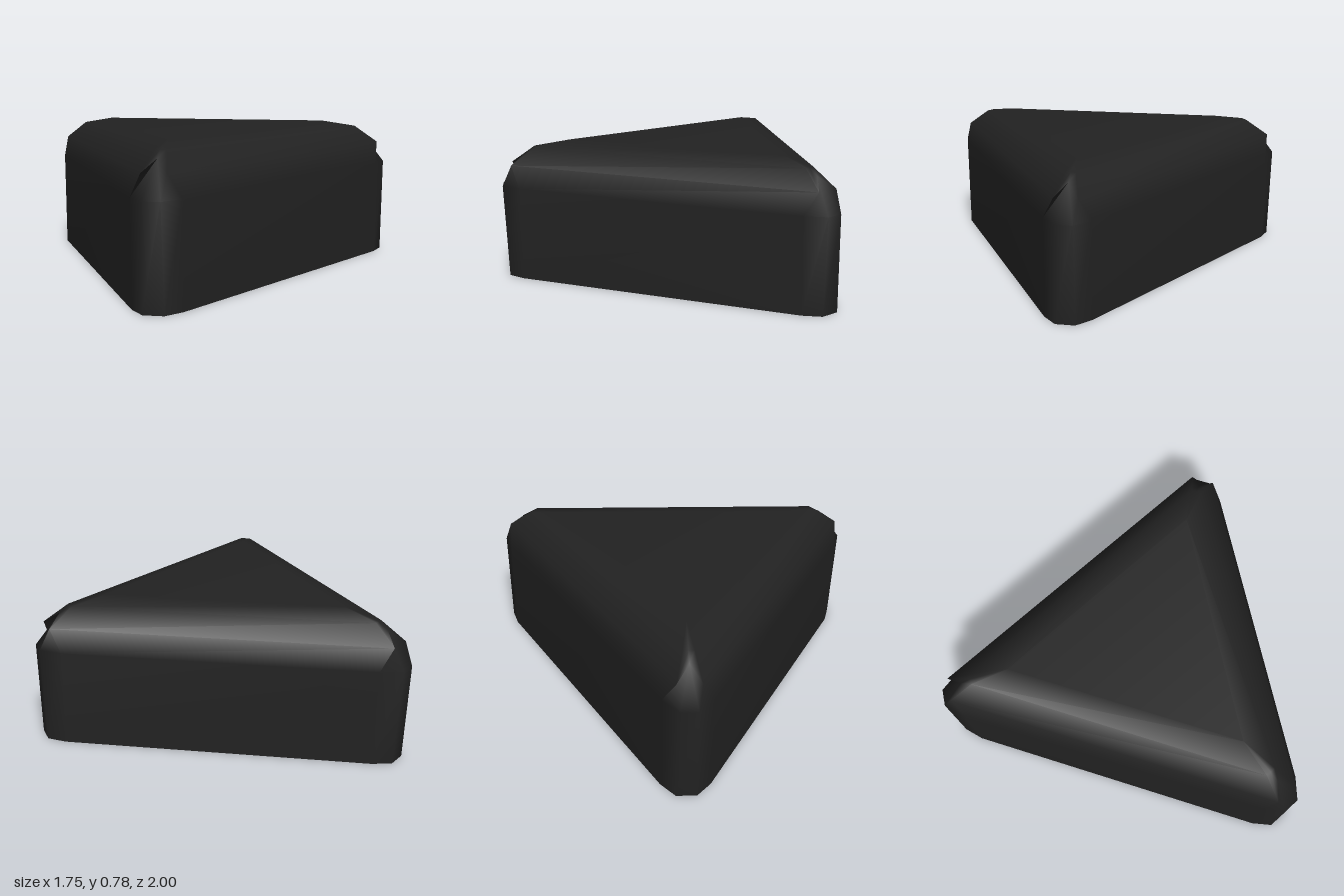
import * as THREE from 'three';
import { mergeVertices } from 'three/addons/utils/BufferGeometryUtils.js';

const INRADIUS = 0.624; // centre of the triangle to each straight side

// Point where a corner's rounding meets the straight side, as [x, y, z]
function sidePoint(inset, setback, y) {
  return [2 * (INRADIUS - inset) - 0.866 * setback, y, 0.5 * setback];
}

// One corner row: four points from -z to +z, mirrored about the corner's axis
function cornerRow(side, middle) {
  const flip = ([x, y, z]) => [x, y, -z];
  return [flip(side), flip(middle), middle, side];
}

export function createModel() {
  const group = new THREE.Group();
  const charcoal = new THREE.MeshStandardMaterial({ color: 0x222222, side: THREE.DoubleSide });
  charcoal.name = 'charcoal';

  // Rows of the corner, from the open rim to the flat top, converging to a point
  const rim = sidePoint(0, 0.25, 0);
  const shoulder = sidePoint(0, 0.25, 0.53);
  const bevel = sidePoint(0.035, 0.123, 0.65);
  const crown = sidePoint(0.13, 0.056, 0.745);
  const tip = sidePoint(0.255, 0, 0.78);
  const rows = [
    cornerRow(rim, [1.112, 0, 0.052]),
    cornerRow(shoulder, [1.126, 0.53, 0.045]),
    cornerRow(bevel, [0.996, 0.71, 0]),
    cornerRow(crown, [crown[0], crown[1], 0]),
    cornerRow(tip, tip),
  ];

  // Repeat each row round the three corners to form closed rings
  const positions = [];
  for (const row of rows) {
    for (let corner = 0; corner < 3; corner++) {
      const c = Math.cos(corner * Math.PI * 2 / 3);
      const s = Math.sin(corner * Math.PI * 2 / 3);
      for (const [x, y, z] of row) positions.push(x * c - z * s - 0.251, y, x * s + z * c);
    }
  }

  // Join neighbouring rings, then close the top
  const n = 12;
  const index = [];
  for (let r = 0; r < rows.length - 1; r++) {
    for (let i = 0; i < n; i++) {
      const j = (i + 1) % n;
      const a = r * n + i, b = r * n + j, c = a + n, d = b + n;
      index.push(a, c, b, b, c, d);
    }
  }
  const top = (rows.length - 1) * n;
  index.push(top, top + 8, top + 4);

  // Weld coincident points so the shading is smooth, and drop collapsed faces
  let geometry = new THREE.BufferGeometry();
  geometry.setAttribute('position', new THREE.Float32BufferAttribute(positions, 3));
  geometry.setIndex(index);
  geometry = mergeVertices(geometry, 1e-4);
  const welded = Array.from(geometry.index.array);
  const faces = [];
  for (let i = 0; i < welded.length; i += 3) {
    const [a, b, c] = welded.slice(i, i + 3);
    if (a !== b && b !== c && c !== a) faces.push(a, b, c);
  }
  geometry.setIndex(faces);
  geometry.computeVertexNormals();

  // Hollow triangular cap, open underneath
  const cap = new THREE.Mesh(geometry, charcoal);
  cap.name = 'triangularCap';
  group.add(cap);
  return group;
}
